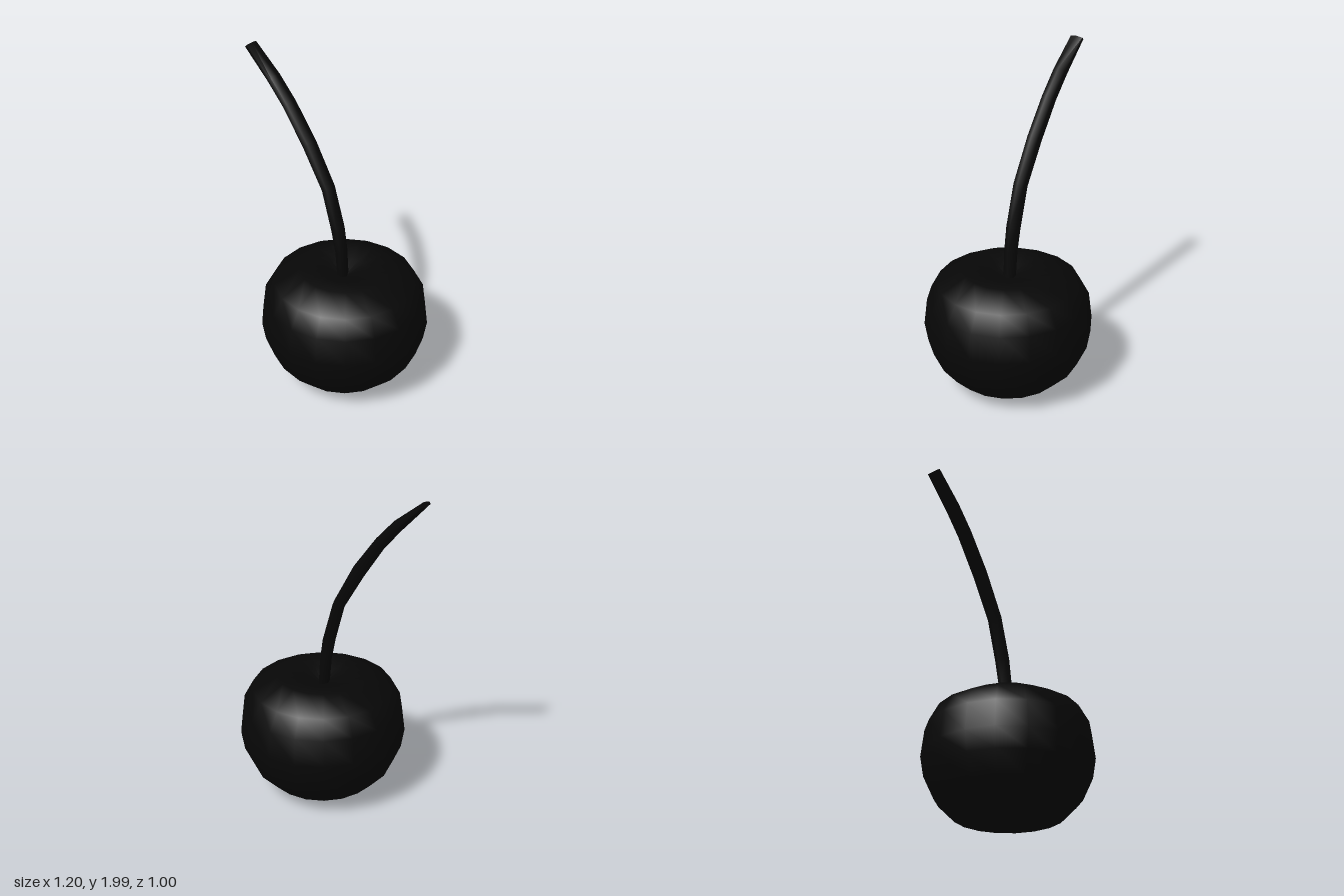
import * as THREE from 'three';
import { mergeVertices, toCreasedNormals } from 'three/addons/utils/BufferGeometryUtils.js';

const black = new THREE.MeshStandardMaterial({ color: 0x070707 });

// Squat round fruit with a shallow dimple on top: profile of [radius, height]
function createFruit() {
  const profile = [
    [0, 0.005], [0.17, 0.03], [0.32, 0.07], [0.42, 0.17], [0.48, 0.3], [0.5, 0.42],
    [0.48, 0.58], [0.42, 0.69], [0.27, 0.768], [0.13, 0.745], [0, 0.7],
  ].map(([r, y]) => new THREE.Vector2(r, y));
  const fruit = new THREE.Mesh(new THREE.LatheGeometry(profile, 18), black);
  fruit.name = 'fruit';
  fruit.position.x = 0.1;
  return fruit;
}

// Curved six-sided stem: stations of [x, y, half thickness], flattened at the tip
function createStem() {
  const stations = [
    [0.09, 0.66, 0.027], [0.073, 0.87, 0.033], [0.047, 1.01, 0.041], [-0.025, 1.255, 0.037],
    [-0.165, 1.496, 0.042], [-0.31, 1.7, 0.036], [-0.424, 1.828, 0.033], [-0.597, 1.988, 0.016],
  ];
  const last = stations.length - 1;
  let geometry = new THREE.CylinderGeometry(1, 1, 1, 6, last, false, Math.PI / 2);
  const position = geometry.attributes.position;
  for (let i = 0; i < position.count; i++) {
    const k = Math.round((position.getY(i) + 0.5) * last);
    const [x, y, half] = stations[k];
    const before = stations[Math.max(k - 1, 0)];
    const after = stations[Math.min(k + 1, last)];
    // Offset each ring across the direction of the stem
    const across = new THREE.Vector2(after[1] - before[1], before[0] - after[0]).normalize();
    const offset = position.getX(i) * half;
    const halfDepth = 0.04 + 0.006 * (k / last);
    position.setXYZ(i, x + across.x * offset, y + across.y * offset, position.getZ(i) * halfDepth);
  }
  geometry.deleteAttribute('uv');
  geometry.deleteAttribute('normal');
  geometry = toCreasedNormals(mergeVertices(geometry), 1.25);
  const stem = new THREE.Mesh(geometry, black);
  stem.name = 'stem';
  return stem;
}

export function createModel() {
  const cherry = new THREE.Group();
  cherry.name = 'cherry';
  cherry.add(createFruit(), createStem());
  return cherry;
}
